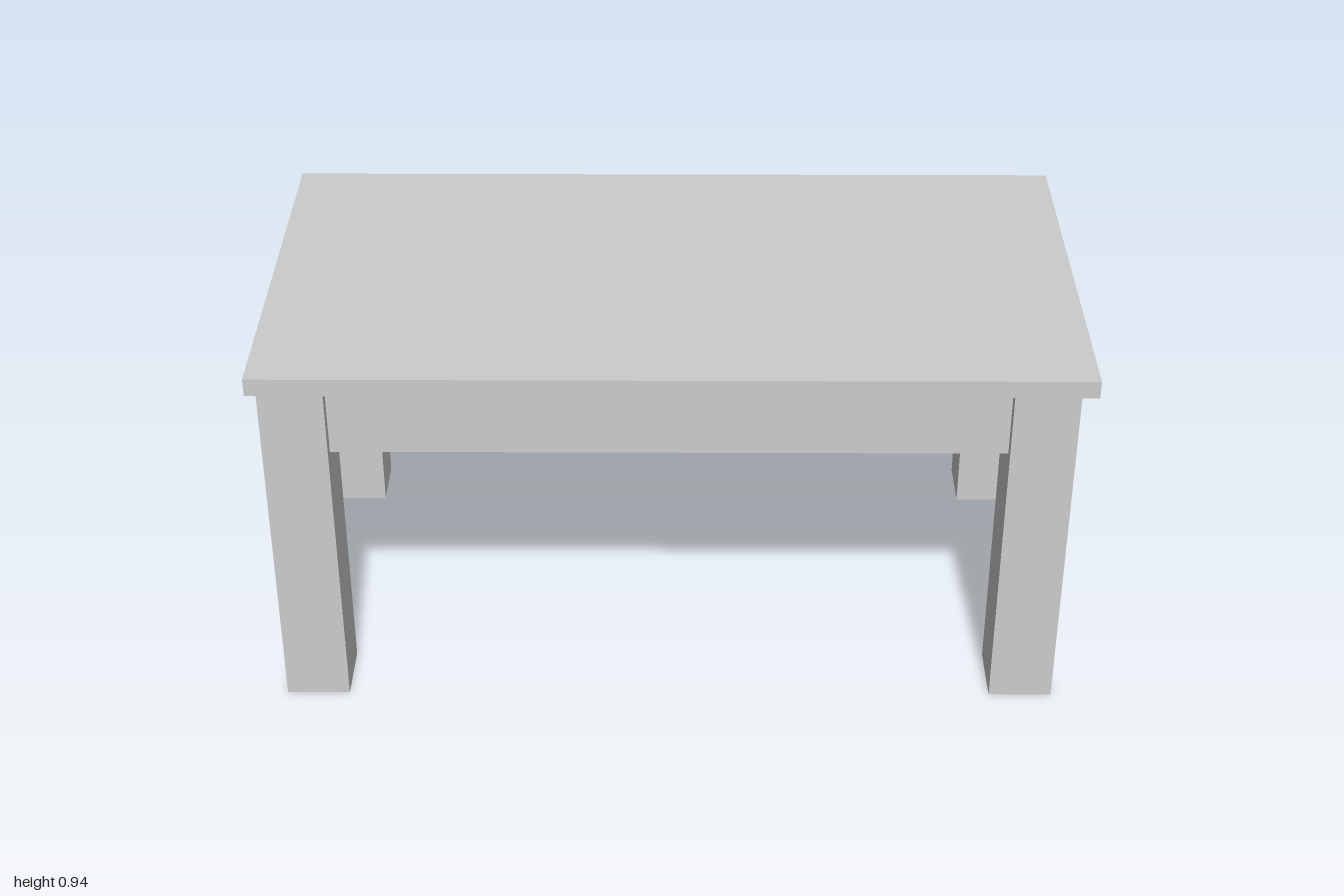
import * as THREE from 'three';

const material = new THREE.MeshStandardMaterial({ color: 0xcccccc, flatShading: true });

// Box given by its extents along each axis
function box(name, [x0, x1], [y0, y1], [z0, z1]) {
  const mesh = new THREE.Mesh(new THREE.BoxGeometry(x1 - x0, y1 - y0, z1 - z0), material);
  mesh.position.set((x0 + x1) / 2, (y0 + y1) / 2, (z0 + z1) / 2);
  mesh.name = name;
  return mesh;
}

export function createModel() {
  const table = new THREE.Group();
  table.name = 'table';

  const under = 0.895;
  const apronY = [0.712, under];
  const thick = 0.04;

  // Table top
  table.add(box('tableTop', [-1, 1], [under, 0.94], [-0.528, 0.528]));

  // Four square legs
  const legX = { right: [-0.975, -0.818], left: [0.804, 0.961] };
  const legZ = { front: [0.355, 0.516], back: [-0.506, -0.355] };
  for (const [end, z] of Object.entries(legZ)) {
    for (const [side, x] of Object.entries(legX)) {
      table.add(box(`${end}${side === 'left' ? 'Left' : 'Right'}Leg`, x, [0, under], z));
    }
  }

  // Long aprons, set back from the outer leg faces
  const spanX = [legX.right[1], legX.left[0]];
  table.add(box('frontApron', spanX, apronY, [0.486 - thick, 0.486]));
  table.add(box('backApron', spanX, apronY, [-0.475, -0.475 + thick]));

  // Short aprons between the front and back legs
  const spanZ = [legZ.back[1], legZ.front[0]];
  table.add(box('leftApron', [0.943 - thick, 0.943], apronY, spanZ));
  table.add(box('rightApron', [-0.957, -0.957 + thick], apronY, spanZ));

  return table;
}
